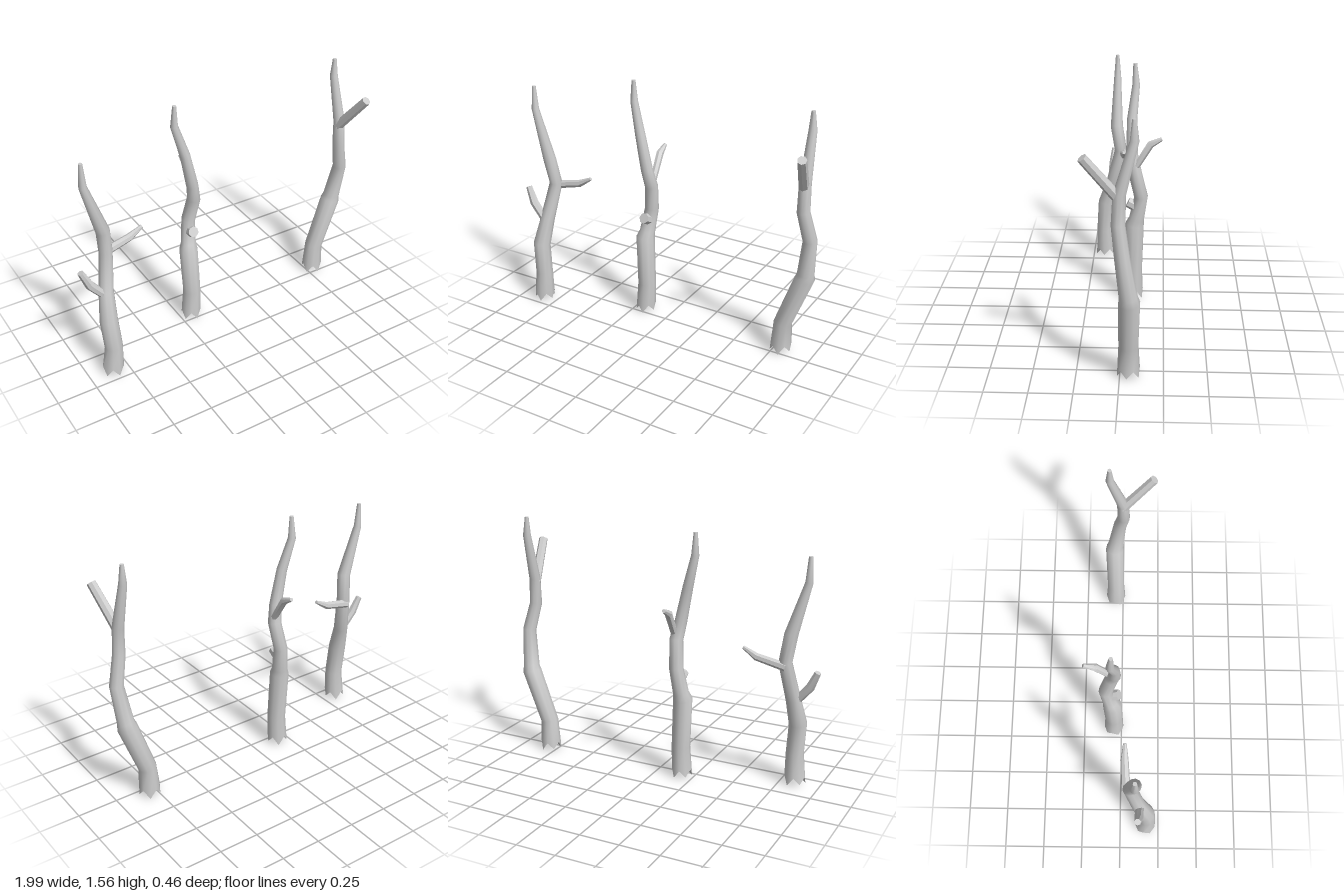
import * as THREE from 'three';
import { toCreasedNormals } from 'three/addons/utils/BufferGeometryUtils.js';

const UP = new THREE.Vector3(0, 1, 0);
const material = new THREE.MeshStandardMaterial({ color: 0xcccccc, side: THREE.DoubleSide });

// Sweep a polygon along points [x, y, z, radius]; a broken foot gets jagged teeth and a hollow.
function limb(name, path, sides, broken = false) {
  const centres = path.map(p => new THREE.Vector3(p[0], p[1], p[2]));
  const positions = [], index = [];
  const last = path.length - 1;
  centres.forEach((c, i) => {
    const before = i > 0 ? c.clone().sub(centres[i - 1]).normalize() : new THREE.Vector3();
    const after = i < last ? centres[i + 1].clone().sub(c).normalize() : new THREE.Vector3();
    const turn = new THREE.Quaternion();
    if (!(broken && i === 0)) turn.setFromUnitVectors(UP, before.add(after).normalize());
    for (let s = 0; s < sides; s++) {
      const a = (s + 0.25) / sides * Math.PI * 2;
      const v = new THREE.Vector3(Math.sin(a), 0, Math.cos(a)).multiplyScalar(path[i][3]);
      v.applyQuaternion(turn).add(c);
      if (broken && i === 0) v.y = s % 2 ? 0.055 : 0.012 * ((s / 2) % 2);
      positions.push(v.x, v.y, v.z);
    }
  });
  for (let i = 0; i < last; i++) {
    for (let s = 0; s < sides; s++) {
      const a = i * sides + s, b = i * sides + (s + 1) % sides;
      index.push(a, b, b + sides, a, b + sides, a + sides);
    }
  }
  // End caps
  const foot = positions.length / 3, top = foot + 1;
  positions.push(path[0][0], path[0][1] + (broken ? 0.07 : 0), path[0][2], ...path[last].slice(0, 3));
  for (let s = 0; s < sides; s++) {
    const n = (s + 1) % sides;
    index.push(foot, n, s, top, last * sides + s, last * sides + n);
  }
  const geometry = new THREE.BufferGeometry();
  geometry.setAttribute('position', new THREE.Float32BufferAttribute(positions, 3));
  geometry.setIndex(index);
  const mesh = new THREE.Mesh(toCreasedNormals(geometry, 0.85), material);
  mesh.name = name;
  return mesh;
}

function tree(name, trunk, branches) {
  const group = new THREE.Group();
  group.name = name;
  group.add(limb('trunk', trunk, 10, true));
  for (const [label, path] of Object.entries(branches)) group.add(limb(label, path, 7));
  return group;
}

export function createModel() {
  const model = new THREE.Group();
  model.name = 'deadTrees';

  model.add(tree('rightTree', [
    [-0.845, 0, 0.165, 0.066], [-0.835, 0.2, 0.17, 0.056], [-0.85, 0.4, 0.16, 0.056],
    [-0.83, 0.57, 0.11, 0.046], [-0.79, 0.81, 0.055, 0.042], [-0.81, 0.98, 0.083, 0.042],
    [-0.905, 1.3, 0.08, 0.024], [-0.907, 1.45, 0.08, 0.012],
  ], {
    sideBranch: [[-0.8, 0.79, 0.035, 0.028], [-0.62, 0.83, 0.025, 0.024], [-0.535, 0.878, 0.025, 0.011]],
    lowBranch: [[-0.83, 0.54, 0.12, 0.026], [-0.93, 0.66, 0.115, 0.028], [-0.975, 0.76, 0.105, 0.02]],
  }));

  model.add(tree('middleTree', [
    [-0.175, 0, -0.05, 0.064], [-0.166, 0.2, -0.05, 0.058], [-0.18, 0.52, -0.058, 0.06],
    [-0.173, 0.56, -0.07, 0.049], [-0.155, 0.72, -0.098, 0.044], [-0.135, 0.89, -0.06, 0.042],
    [-0.155, 1.0, -0.04, 0.038], [-0.2, 1.22, -0.04, 0.032],
    [-0.255, 1.42, -0.062, 0.024], [-0.254, 1.555, -0.056, 0.012],
  ], {
    backBranch: [[-0.125, 0.91, -0.055, 0.021], [-0.13, 1.075, -0.155, 0.024], [-0.133, 1.11, -0.225, 0.012]],
    brokenStub: [[-0.16, 0.64, -0.085, 0.036], [-0.165, 0.675, -0.015, 0.034]],
  }));

  model.add(tree('leftTree', [
    [0.796, 0, -0.05, 0.066], [0.803, 0.2, -0.05, 0.057], [0.922, 0.53, -0.057, 0.061],
    [0.927, 0.565, -0.053, 0.052], [0.952, 0.8, -0.022, 0.043], [0.91, 0.98, 0.002, 0.039],
    [0.907, 1.15, -0.005, 0.036], [0.9, 1.44, -0.083, 0.025], [0.897, 1.555, -0.082, 0.012],
  ], {
    forkBranch: [[0.9, 1.12, -0.005, 0.032], [0.955, 1.365, 0.183, 0.028]],
  }));

  return model;
}
